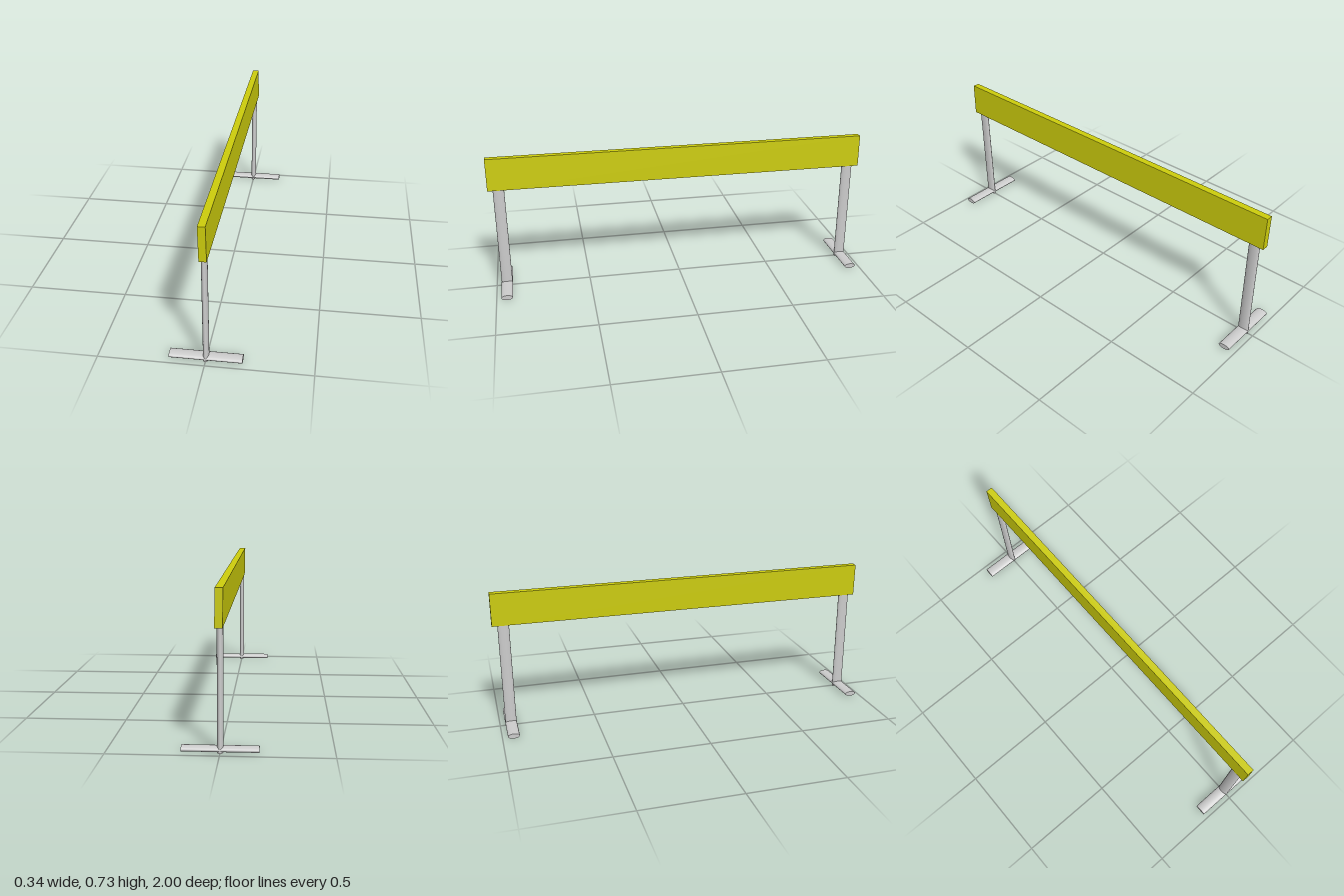
import * as THREE from 'three';

const steel = new THREE.MeshStandardMaterial({ color: 0xcccccc });
const yellow = new THREE.MeshStandardMaterial({ color: 0xcccc0c });

// Flattened oval tube standing on y, wide along z
function ovalTube(name, length, thickness, width) {
  const geo = new THREE.CylinderGeometry(0.5, 0.5, length, 32);
  geo.scale(thickness, 1, width);
  const mesh = new THREE.Mesh(geo, steel);
  mesh.name = name;
  return mesh;
}

// One upright with its crosswise foot
function createStand(name, z) {
  const stand = new THREE.Group();
  stand.name = name;
  const post = ovalTube('post', 0.57, 0.028, 0.058);
  post.position.y = 0.285;
  const foot = ovalTube('foot', 0.341, 0.026, 0.06);
  foot.rotation.z = Math.PI / 2;
  foot.position.y = 0.015;
  stand.add(post, foot);
  stand.position.z = z;
  return stand;
}

export function createModel() {
  const model = new THREE.Group();
  model.name = 'hurdle';
  model.add(createStand('frontStand', 0.945), createStand('backStand', -0.943));

  // Long board, leaning very slightly
  const board = new THREE.Mesh(new THREE.BoxGeometry(0.035, 0.171, 2), yellow);
  board.name = 'board';
  board.position.set(0.001, 0.6415, 0);
  board.rotation.z = 0.0175;
  model.add(board);
  return model;
}
